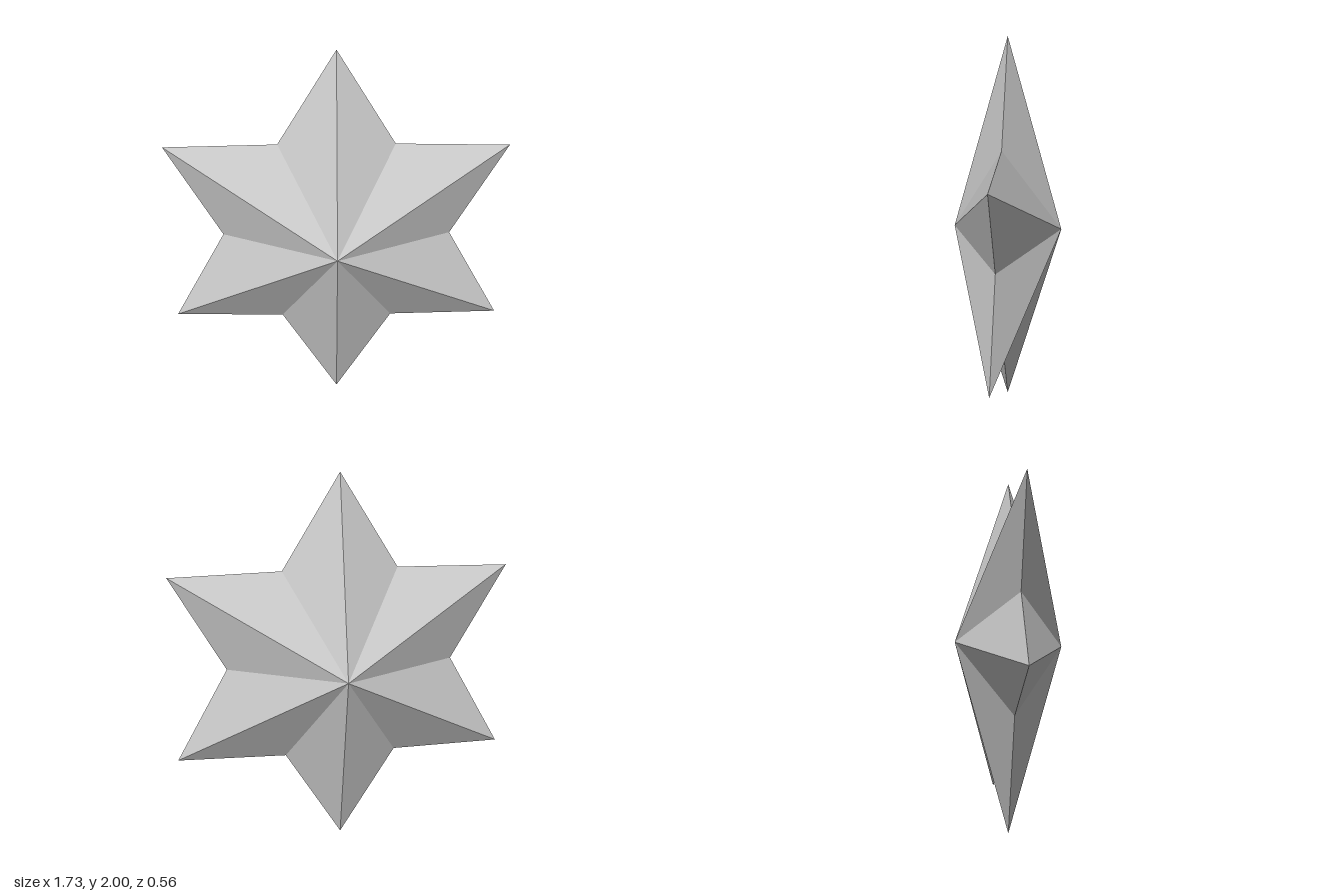
import * as THREE from 'three';

const POINTS = 6, OUTER = 1, INNER = 0.59, DEPTH = 0.28;

// Faceted half of the star: a fan from the raised centre to the zigzag rim
function starHalf(side) {
  const rim = (i) => {
    const a = Math.PI / 2 + (i * Math.PI) / POINTS;
    const r = i % 2 ? INNER : OUTER;
    return [r * Math.cos(a), r * Math.sin(a), 0];
  };
  const positions = [];
  for (let i = 0; i < POINTS * 2; i++) {
    const [a, b] = side > 0 ? [i, i + 1] : [i + 1, i];
    positions.push(0, 0, side * DEPTH, ...rim(a), ...rim(b));
  }
  const geometry = new THREE.BufferGeometry();
  geometry.setAttribute('position', new THREE.Float32BufferAttribute(positions, 3));
  geometry.computeVertexNormals();
  return geometry;
}

export function createModel() {
  const group = new THREE.Group();
  group.name = 'sixPointedStar';
  const silver = new THREE.MeshStandardMaterial({ color: 0xcccccc, flatShading: true });
  silver.name = 'silver grey';

  // Front and back halves meet at the rim
  for (const [name, side] of [['starFront', 1], ['starBack', -1]]) {
    const half = new THREE.Mesh(starHalf(side), silver);
    half.name = name;
    half.position.y = OUTER;
    group.add(half);
  }
  return group;
}
